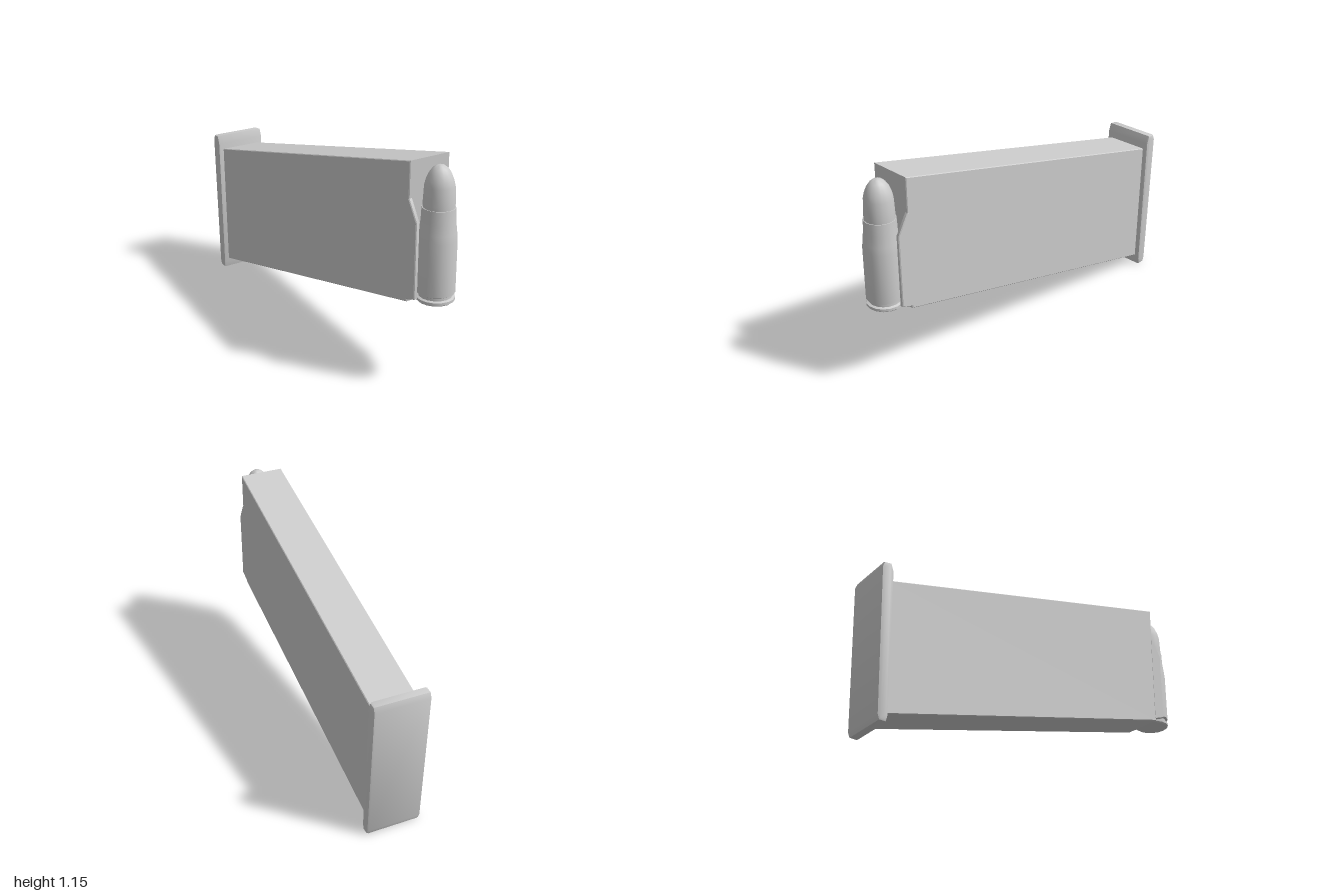
import * as THREE from 'three';
import { toCreasedNormals } from 'three/addons/utils/BufferGeometryUtils.js';

const v2 = ([x, y]) => new THREE.Vector2(x, y);

// Side outline in (z, y), extruded across x and centred, with small bevelled edges
function sideExtrude(outline, width, bevel, segments = 1) {
  const geometry = new THREE.ExtrudeGeometry(new THREE.Shape(outline.map(v2)), {
    depth: width - 2 * bevel,
    bevelEnabled: true,
    bevelSize: bevel,
    bevelThickness: bevel,
    bevelOffset: -bevel,
    bevelSegments: segments,
  });
  geometry.translate(0, 0, bevel - width / 2);
  geometry.rotateY(-Math.PI / 2);
  return toCreasedNormals(geometry, 0.6);
}

export function createModel() {
  const steel = new THREE.MeshStandardMaterial({ color: 0xcccccc });
  steel.name = 'steel';
  const model = new THREE.Group();
  model.name = 'magazine';

  function add(name, geometry, x = 0, y = 0, z = 0) {
    const mesh = new THREE.Mesh(geometry, steel);
    mesh.name = name;
    mesh.position.set(x, y, z);
    model.add(mesh);
  }

  // Slanted box body
  add('body', sideExtrude(
    [[0.83, 0.443], [0.83, 1.155], [-0.937, 0.763], [-0.922, 0.053]], 0.24, 0.004));

  // Base plate with eased ends
  add('basePlate', sideExtrude([
    [-0.917, 0.035], [-0.933, 0.8], [-0.948, 0.845], [-0.988, 0.843],
    [-1.0, 0.815], [-0.975, 0.03], [-0.965, 0.003], [-0.925, 0],
  ], 0.3, 0.012, 2));

  // Feed lips on either side of the cartridge
  const lip = sideExtrude(
    [[0.82, 0.455], [0.83, 0.455], [0.89, 0.475], [0.89, 0.865], [0.83, 0.97], [0.82, 0.97]],
    0.022, 0.004);
  add('leftFeedLip', lip, 0.11);
  add('rightFeedLip', lip, -0.11);

  // Case: rim, extraction groove, wall, shoulder and neck
  const casing = [
    [0, 0.455], [0.088, 0.455], [0.095, 0.461], [0.095, 0.475], [0.083, 0.48],
    [0.083, 0.493], [0.095, 0.5], [0.094, 0.77], [0.09, 0.81], [0.084, 0.86],
    [0.081, 0.93], [0.076, 0.93],
  ];
  add('cartridgeCase',
    toCreasedNormals(new THREE.LatheGeometry(casing.map(v2), 16), 0.6), 0, 0, 0.905);

  // Rounded bullet tip
  const bullet = [
    [0.077, 0.92], [0.077, 0.95], [0.073, 1.035], [0.066, 1.065], [0.054, 1.095],
    [0.038, 1.118], [0.02, 1.132], [0, 1.137],
  ];
  add('bullet',
    toCreasedNormals(new THREE.LatheGeometry(bullet.map(v2), 16), 0.6), 0, 0, 0.905);

  return model;
}
